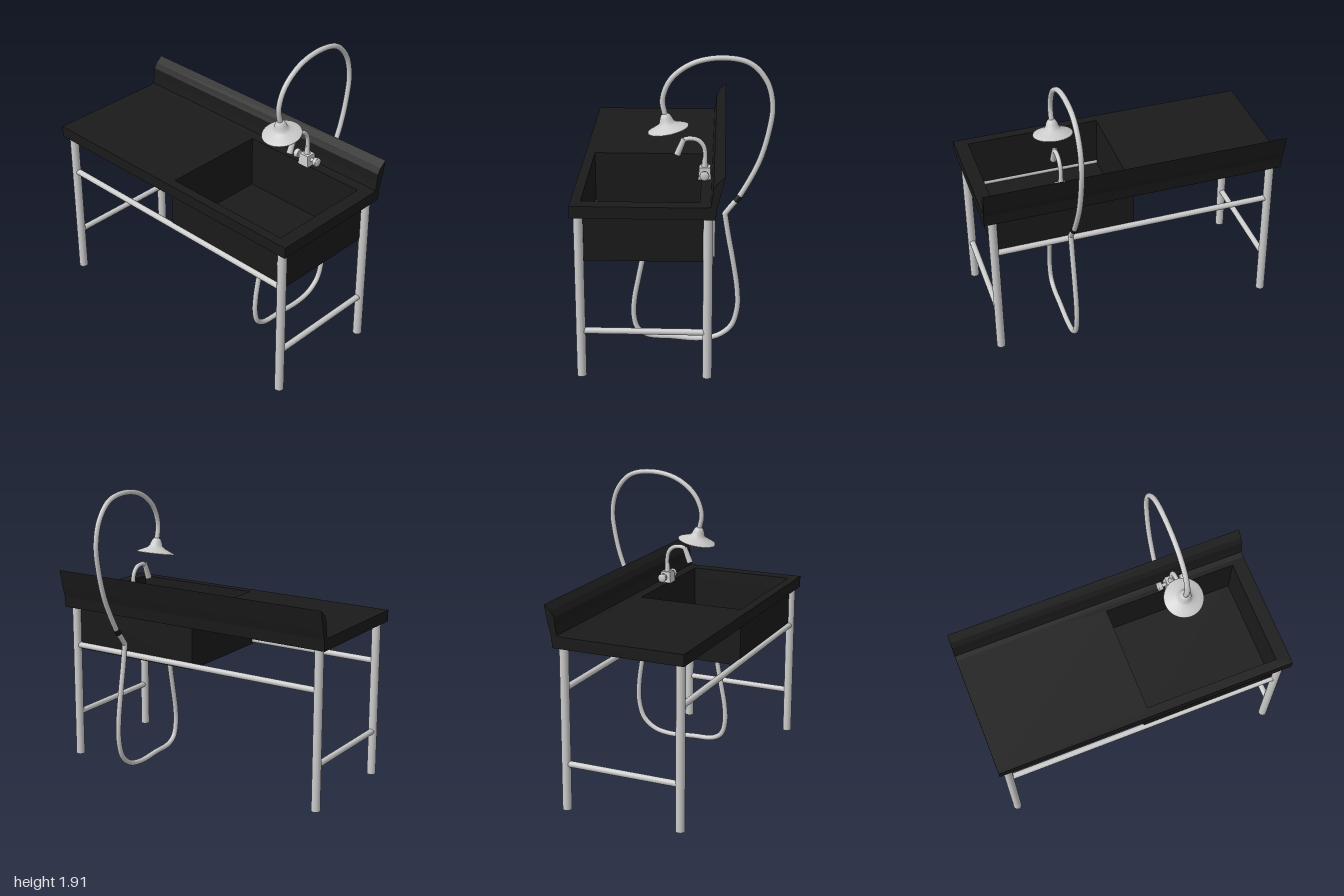
import * as THREE from 'three';

const steel = new THREE.MeshStandardMaterial({ color: 0xcccccc });
const black = new THREE.MeshStandardMaterial({ color: 0x1a1a1a });
const HOSE_X = 0.46, TAP_X = 0.478;

export function createModel() {
  const group = new THREE.Group();
  const V = (x, y, z) => new THREE.Vector3(x, y, z);

  function add(name, geometry, material = steel) {
    const mesh = new THREE.Mesh(geometry, material);
    mesh.name = name;
    group.add(mesh);
    return mesh;
  }

  // Round bar between two points, r0 at the start and r1 at the end
  function bar(name, a, b, r0, r1 = r0, material = steel) {
    const dir = b.clone().sub(a);
    const mesh = add(name, new THREE.CylinderGeometry(r1, r0, dir.length(), 20), material);
    mesh.position.copy(a).add(b).multiplyScalar(0.5);
    mesh.quaternion.setFromUnitVectors(V(0, 1, 0), dir.normalize());
    return mesh;
  }

  // Smooth tube through [z, y] points in the plane at x
  function pipe(name, x, points, radius, segments) {
    const curve = new THREE.CatmullRomCurve3(points.map(([z, y]) => V(x, y, z)), false, 'centripetal');
    return add(name, new THREE.TubeGeometry(curve, segments, radius, 14), steel);
  }

  // Rectangular plate with a rectangular opening; rectangles are [x0, x1, z0, z1]
  function frame(name, outer, inner, y0, y1) {
    const rect = (P, [x0, x1, z0, z1]) => new P([
      [x0, -z1], [x1, -z1], [x1, -z0], [x0, -z0],
    ].map(([x, y]) => new THREE.Vector2(x, y)));
    const shape = rect(THREE.Shape, outer);
    shape.holes.push(rect(THREE.Path, inner));
    const g = new THREE.ExtrudeGeometry(shape, { depth: y1 - y0, bevelEnabled: false });
    g.rotateX(-Math.PI / 2).translate(0, y0, 0);
    return add(name, g, black);
  }

  // Worktop and sink basin
  const opening = [0.02, 0.91, -0.16, 0.545];
  frame('worktop', [-1, 1, -0.255, 0.606], opening, 1.058, 1.133);
  frame('basinWalls', [0, 0.93, -0.2, 0.556], opening, 0.762, 1.058);
  const floor = add('basinFloor', new THREE.BoxGeometry(0.92, 0.015, 0.74), black);
  floor.position.set(0.465, 0.7705, 0.178);

  // Splashback: [z, y] section run along the whole length
  const section = new THREE.Shape([
    [-0.255, 1.058], [-0.19, 1.1], [-0.19, 1.133], [-0.225, 1.138], [-0.234, 1.19],
    [-0.24, 1.25], [-0.262, 1.285], [-0.307, 1.322], [-0.292, 1.25], [-0.278, 1.19], [-0.262, 1.133],
  ].map(([z, y]) => new THREE.Vector2(z, y)));
  const splash = new THREE.ExtrudeGeometry(section, { depth: 2, bevelEnabled: false });
  splash.rotateY(-Math.PI / 2).translate(1, 0, 0);
  add('splashback', splash, black);

  // Legs and rails
  const LEG_X = 0.94, FRONT = 0.56, BACK = -0.21;
  for (const x of [-LEG_X, LEG_X]) {
    for (const z of [FRONT, BACK]) bar('leg', V(x, 0, z), V(x, 1.06, z), 0.029);
    bar('sideRail', V(x, 0.303, BACK), V(x, 0.303, FRONT), 0.02);
  }
  for (const z of [FRONT, BACK]) bar('longRail', V(-LEG_X, 0.79, z), V(LEG_X, 0.79, z), 0.02);

  // Drain collar and the hose looping to the floor and back up
  bar('drainCollar', V(HOSE_X, 0.748, 0.197), V(HOSE_X, 0.765, 0.197), 0.038, 0.038, black);
  pipe('lowerHose', HOSE_X, [
    [0.197, 0.76], [0.205, 0.62], [0.235, 0.46], [0.266, 0.293], [0.271, 0.18], [0.245, 0.085],
    [0.18, 0.043], [0.03, 0.032], [-0.15, 0.021], [-0.27, 0.045], [-0.355, 0.115],
    [-0.393, 0.24], [-0.392, 0.37], [-0.363, 0.57], [-0.332, 0.74], [-0.308, 0.89],
  ], 0.018, 120);
  pipe('upperHose', HOSE_X, [
    [-0.308, 0.89], [-0.345, 0.94], [-0.385, 0.99], [-0.46, 1.12], [-0.52, 1.25], [-0.57, 1.43],
    [-0.59, 1.6], [-0.552, 1.75], [-0.45, 1.86], [-0.28, 1.892], [-0.1, 1.855],
    [0.03, 1.755], [0.08, 1.63], [0.065, 1.53],
  ], 0.0175, 120);
  const joint = add('hoseElbow', new THREE.SphereGeometry(0.018, 14, 10));
  joint.position.set(HOSE_X, 0.89, -0.308);
  bar('hoseCollar', V(HOSE_X, 0.975, -0.373), V(HOSE_X, 1.01, -0.401), 0.0195, 0.0195, black);

  // Tilted bell-shaped shower head
  const bell = [
    [0, 0.004], [0.122, 0], [0.128, 0.002], [0.127, 0.007], [0.09, 0.024], [0.058, 0.038],
    [0.044, 0.053], [0.038, 0.075], [0.029, 0.093], [0.019, 0.103], [0, 0.106],
  ].map(([r, y]) => new THREE.Vector2(r, y));
  const head = add('showerHead', new THREE.LatheGeometry(bell, 40));
  head.position.set(HOSE_X, 1.438, 0.045);
  head.rotation.x = 0.2;

  // Tap: tapered square body, side valves, curved spout and nozzle
  const body = new THREE.CylinderGeometry(0.048, 0.057, 0.076, 4, 1).toNonIndexed();
  body.rotateY(Math.PI / 4).computeVertexNormals();
  add('tapBody', body).position.set(TAP_X, 1.17, -0.18);
  bar('valveBar', V(TAP_X - 0.085, 1.175, -0.18), V(TAP_X + 0.085, 1.175, -0.18), 0.012);
  for (const s of [-1, 1]) {
    bar('tapHandle', V(TAP_X + s * 0.064, 1.175, -0.18), V(TAP_X + s * 0.09, 1.175, -0.18), 0.026, 0.03);
    const cap = add('handleCap', new THREE.SphereGeometry(0.029, 18, 12));
    cap.scale.x = 0.35;
    cap.position.set(TAP_X + s * 0.089, 1.175, -0.18);
  }
  bar('spoutCollar', V(TAP_X, 1.2, -0.18), V(TAP_X, 1.265, -0.18), 0.021, 0.014);
  pipe('spout', TAP_X, [
    [-0.18, 1.2], [-0.183, 1.28], [-0.172, 1.34], [-0.14, 1.376], [-0.1, 1.387], [-0.065, 1.384], [-0.042, 1.37],
  ], 0.0145, 40);
  bar('spoutNozzle', V(TAP_X, 1.386, -0.052), V(TAP_X, 1.283, -0.01), 0.017, 0.021);

  return group;
}
